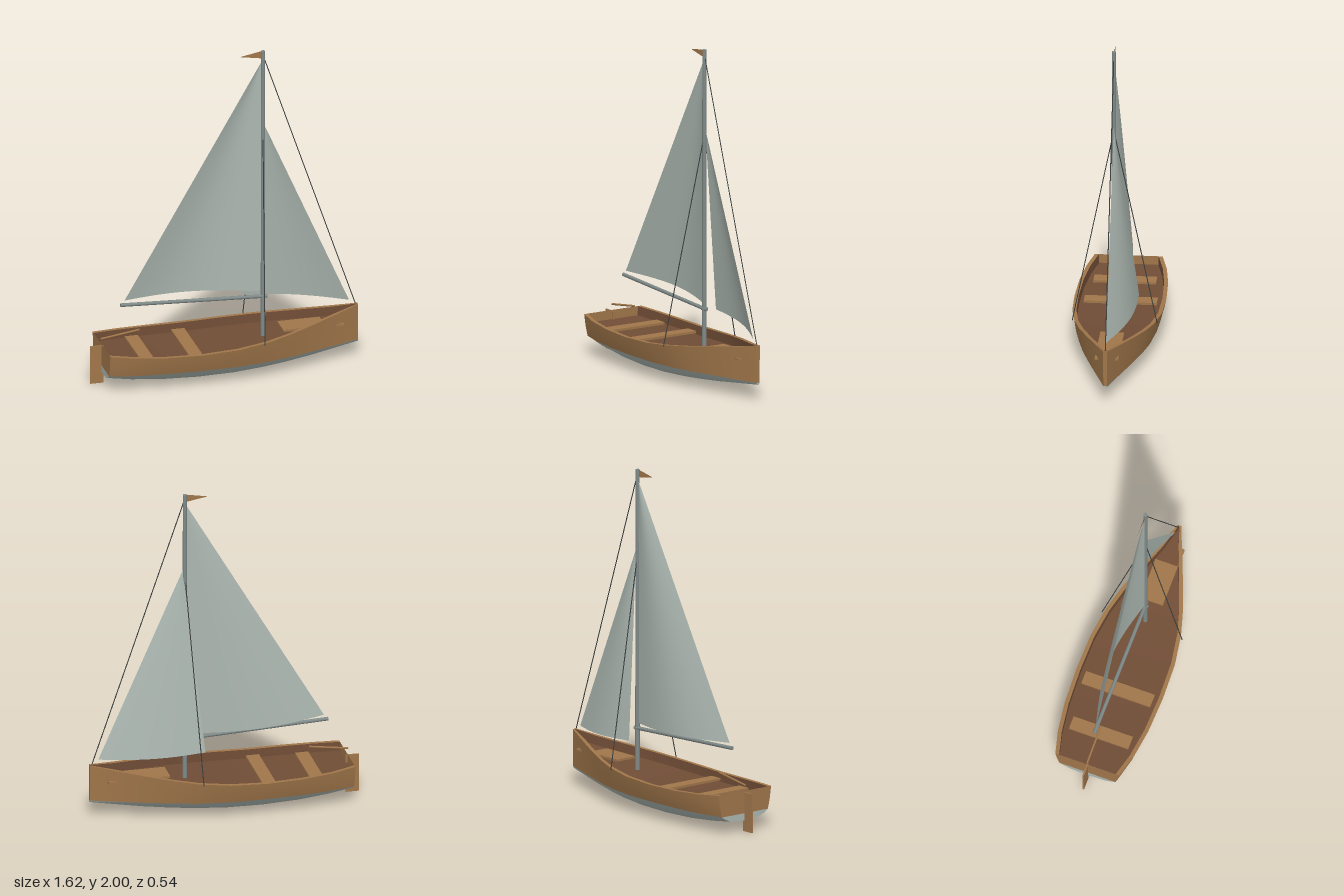
import * as THREE from 'three';

const mat = (name, color) => new THREE.MeshStandardMaterial({ name, color, side: THREE.DoubleSide });

// Surface through rows of [x, y, z] points; flat gives hard facets.
function loft(rows, flat = false) {
  const n = rows[0].length, idx = [];
  for (let i = 0; i < rows.length - 1; i++) {
    for (let j = 0; j < n - 1; j++) {
      const a = i * n + j, b = a + n;
      idx.push(a, b, a + 1, b, b + 1, a + 1);
    }
  }
  let g = new THREE.BufferGeometry();
  g.setAttribute('position', new THREE.Float32BufferAttribute(rows.flat(2), 3));
  g.setIndex(idx);
  if (flat) g = g.toNonIndexed();
  g.computeVertexNormals();
  return g;
}

export function createModel() {
  const boat = new THREE.Group();
  boat.name = 'sailboat';
  const wood = mat('wood', 0xa0764a);
  const floorWood = mat('dark floor wood', 0x704d36);
  const canvas = mat('pale grey', 0xacb7b1);
  const spar = mat('spar grey', 0x7f8a88);
  const rope = mat('dark rope', 0x3c403f);

  const add = (name, geometry, material) => {
    const m = new THREE.Mesh(geometry, material);
    m.name = name;
    boat.add(m);
    return m;
  };
  const box = (name, material, w, h, d, x, y, z = 0) =>
    add(name, new THREE.BoxGeometry(w, h, d), material).position.set(x, y, z);
  // Round bar between two points
  const bar = (name, material, from, to, r, r2 = r, sides = 10) => {
    const a = new THREE.Vector3(...from), b = new THREE.Vector3(...to);
    const dir = b.clone().sub(a);
    const m = add(name, new THREE.CylinderGeometry(r2, r, dir.length(), sides), material);
    m.position.copy(a).add(b).multiplyScalar(0.5);
    m.quaternion.setFromUnitVectors(new THREE.Vector3(0, 1, 0), dir.normalize());
  };

  // Hull stations: x, half beam, sheer height, keel height
  const stations = [
    [-0.745, 0.2, 0.242, 0.065], [-0.6, 0.237, 0.231, 0.045], [-0.42, 0.261, 0.223, 0.029],
    [-0.2, 0.27, 0.22, 0.021], [0.02, 0.264, 0.228, 0.024], [0.2, 0.236, 0.243, 0.034],
    [0.34, 0.196, 0.26, 0.044], [0.5, 0.137, 0.282, 0.058], [0.66, 0.073, 0.306, 0.077],
    [0.81, 0.012, 0.331, 0.095],
  ];
  const WATER = 0.108, FLARE = 0.88, DECK = 0.055;
  const topside = ([x, b, s], k) => [
    [x, s, b * k], [x, (s + WATER) / 2, b * 0.955 * k], [x, WATER, b * FLARE * k]];
  const bottom = ([x, b, , keel], k) => [
    [x, WATER, b * FLARE * k],
    [x, keel + (WATER - keel) * 0.55, b * 0.73 * k],
    [x, keel + (WATER - keel) * 0.17, b * 0.54 * k],
    [x, keel, 0]];

  // Planking, rails and inner walls on both sides
  for (const k of [1, -1]) {
    const side = k > 0 ? 'front' : 'back';
    add(side + 'Topside', loft(stations.map((s) => topside(s, k))), wood);
    add(side + 'Gunwale', loft(stations.map(([x, b, s]) => [
      [x, s, b * k], [x, s, Math.max(b - 0.024, 0.001) * k]]), true), wood);
    add(side + 'InnerWall', loft(stations.map(([x, b, s]) => [
      [x, s, Math.max(b - 0.024, 0.001) * k],
      [x, s - DECK, Math.max(b - 0.026, 0.001) * k]])), floorWood);
  }
  add('hullBottom', loft(stations.map((s) =>
    [...bottom(s, 1), ...bottom(s, -1).reverse().slice(1)])), canvas);
  add('floor', loft(stations.map(([x, b, s]) => {
    const w = Math.max(b - 0.026, 0.001);
    return [[x, s - DECK, w], [x, s - DECK, -w]];
  })), floorWood);

  // Flat ends of the hull
  const ends = { transom: stations[0], stem: stations[stations.length - 1] };
  for (const [name, s] of Object.entries(ends)) {
    add(name, loft([topside(s, 1), topside(s, -1)], true), wood);
    add(name + 'Bottom', loft([bottom(s, 1), bottom(s, -1)], true), canvas);
  }

  // Benches and bow plank
  box('aftBench', wood, 0.08, 0.014, 0.37, -0.515, 0.19);
  box('middleBench', wood, 0.08, 0.014, 0.43, -0.225, 0.19);
  box('bowPlank', wood, 0.37, 0.013, 0.14, 0.525, 0.235);

  // Steering gear
  box('rudder', wood, 0.08, 0.235, 0.01, -0.775, 0.1175);
  bar('tiller', wood, [-0.75, 0.276, 0], [-0.515, 0.31, 0], 0.006);

  // Spars
  bar('mast', spar, [0.235, 0.185, 0], [0.235, 2, 0], 0.014, 0.012, 12);
  bar('boom', spar, [0.26, 0.44, 0], [-0.63, 0.478, 0], 0.011);
  bar('gooseneck', spar, [0.235, 0.442, -0.02], [0.235, 0.442, 0.02], 0.008);

  // Triangular sail, bellied towards -z, narrowing to its head
  const sail = (name, head, fore, aft, belly) => {
    const H = new THREE.Vector3(...head), F = new THREE.Vector3(...fore), A = new THREE.Vector3(...aft);
    const rows = [];
    for (let i = 0; i <= 16; i++) {
      const v = Math.min(i / 16, 0.998), row = [];
      for (let j = 0; j <= 14; j++) {
        const u = j / 14;
        const p = F.clone().lerp(A, u).lerp(H, v);
        p.z -= belly * Math.sin(Math.PI * u) * Math.pow(1 - v, 0.8);
        row.push(p.toArray());
      }
      rows.push(row);
    }
    add(name, loft(rows), canvas);
  };
  sail('mainsail', [0.225, 1.93, 0], [0.225, 0.472, 0], [-0.605, 0.505, 0], 0.072);
  sail('jib', [0.247, 1.52, 0], [0.757, 0.36, 0], [0.145, 0.402, -0.14], 0.045);

  // Rigging
  bar('forestay', rope, [0.243, 1.95, 0], [0.795, 0.335, 0], 0.003, 0.003, 6);
  for (const k of [1, -1]) {
    bar('shroud', rope, [0.235, 1.49, 0], [0.18, 0.235, 0.25 * k], 0.003, 0.003, 6);
  }

  // Masthead pennant
  add('pennant', loft([
    [[0.228, 2, 0], [0.228, 1.953, 0]],
    [[0.103, 1.977, 0], [0.103, 1.974, 0]]], true), wood);

  return boat;
}
